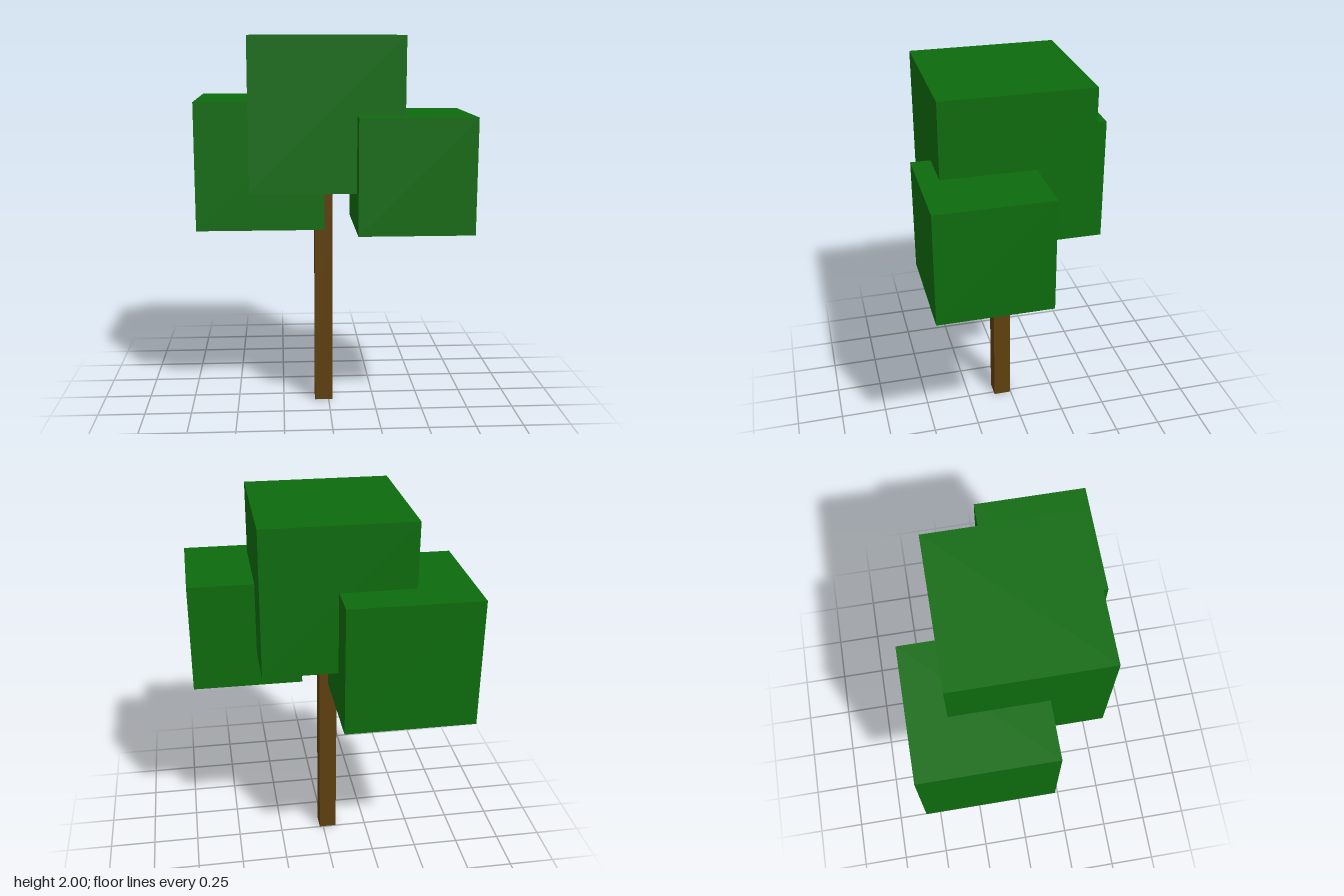
import * as THREE from 'three';

export function createModel() {
  const tree = new THREE.Group();
  tree.name = 'tree';

  const leafGreen = new THREE.MeshStandardMaterial({ color: 0x0d6b0d });
  leafGreen.name = 'leaf green';
  const barkBrown = new THREE.MeshStandardMaterial({ color: 0x5f400d });
  barkBrown.name = 'bark brown';

  // Adds a box by its size and centre
  function addBlock(name, [w, h, d], [x, y, z], material) {
    const mesh = new THREE.Mesh(new THREE.BoxGeometry(w, h, d), material);
    mesh.name = name;
    mesh.position.set(x, y, z);
    tree.add(mesh);
  }

  // Square trunk, its top tucked into the crown
  addBlock('trunk', [0.096, 1.26, 0.096], [-0.027, 0.63, 0.05], barkBrown);

  // Three overlapping cubes of foliage: name, edge length, centre
  const foliage = [
    ['crownFoliage', 0.776, [-0.027, 1.612, 0.047]],
    ['backRightFoliage', 0.68, [-0.366, 1.32, -0.196]],
    ['frontLeftFoliage', 0.582, [0.413, 1.319, 0.245]],
  ];
  for (const [name, size, centre] of foliage) {
    addBlock(name, [size, size, size], centre, leafGreen);
  }

  return tree;
}
